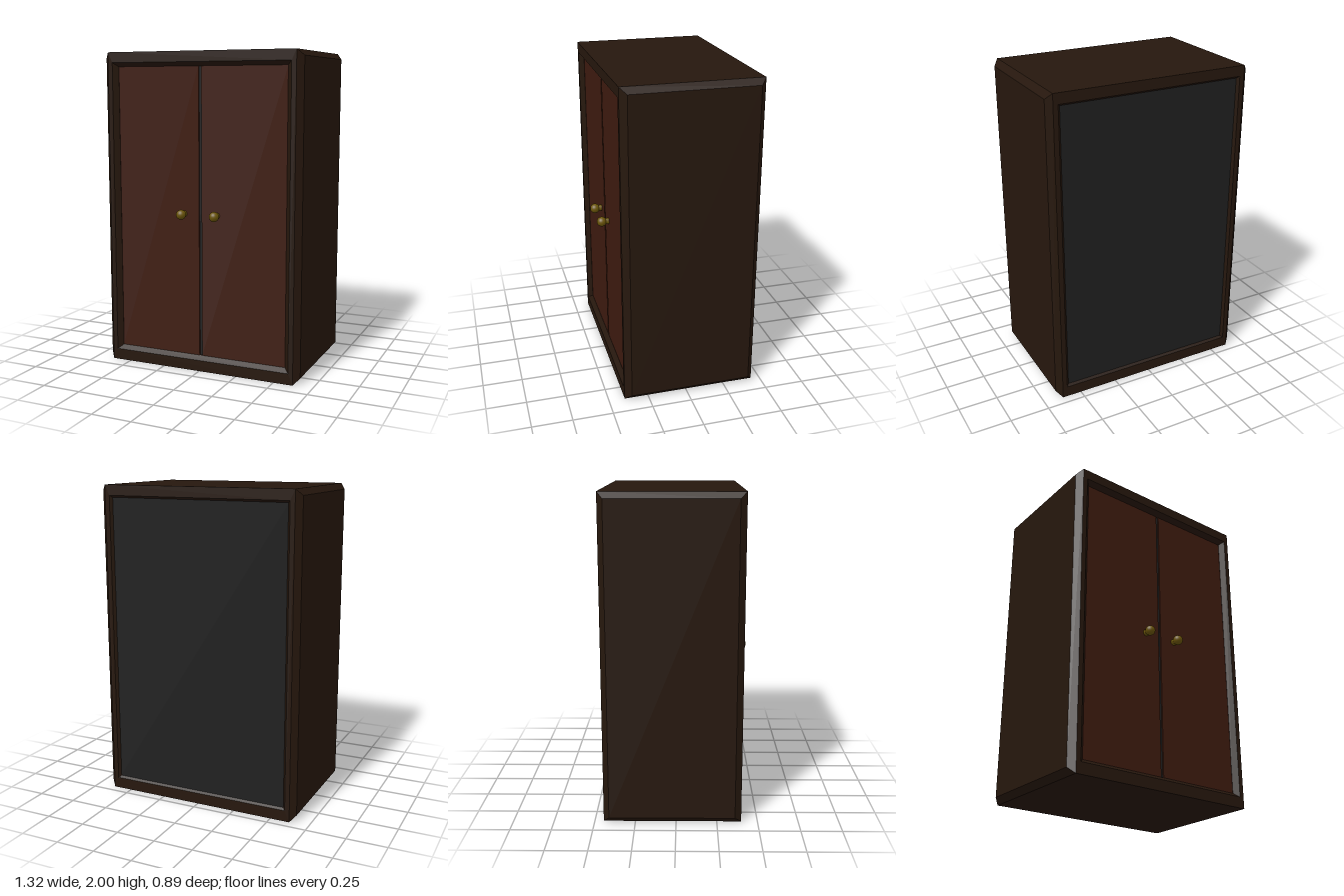
import * as THREE from 'three';

const mat = (color, flatShading = true) => new THREE.MeshStandardMaterial({ color, flatShading });

// Joins four-corner loops into a skin, outermost loop first; optionally caps that first loop.
function loft(loops, cap) {
  const pos = [];
  const quad = (a, b, c, d) => pos.push(...a, ...b, ...c, ...a, ...c, ...d);
  for (let i = 0; i + 1 < loops.length; i++) {
    const p = loops[i], q = loops[i + 1];
    for (let j = 0; j < 4; j++) {
      const k = (j + 1) % 4;
      quad(p[j], q[j], q[k], p[k]);
    }
  }
  if (cap) quad(...loops[0]);
  const g = new THREE.BufferGeometry();
  g.setAttribute('position', new THREE.Float32BufferAttribute(pos, 3));
  g.computeVertexNormals();
  return g;
}

// Upright rectangle facing z, and upright rectangle facing x.
const rectZ = (z, x, y0, y1) => [[-x, y0, z], [x, y0, z], [x, y1, z], [-x, y1, z]];
const rectX = (x, z0, z1, y0, y1) => [[x, y0, z1], [x, y0, z0], [x, y1, z0], [x, y1, z1]];

export function createModel() {
  const model = new THREE.Group();
  const frameMat = mat(0x26170d);
  const doorMat = mat(0x3e1b0f);
  const knobMat = mat(0x6a5408, false);
  const panelMat = mat(0x1f1f1f);

  const add = (name, geometry, material, parent = model) => {
    const m = new THREE.Mesh(geometry, material);
    m.name = name;
    parent.add(m);
    return m;
  };

  // Frame: bevelled front opening, outer walls, bevelled back opening
  add('cabinetFrame', loft([
    rectZ(0.34, 0.565, 0.095, 1.91),
    rectZ(0.37, 0.565, 0.095, 1.91),
    rectZ(0.4, 0.595, 0.07, 1.935),
    rectZ(0.4, 0.625, 0, 2),
    rectZ(-0.445, 0.625, 0, 2),
    rectZ(-0.445, 0.595, 0.07, 1.935),
    rectZ(-0.415, 0.565, 0.095, 1.91),
  ]), frameMat);

  // Side panels with chamfered edges
  const side = loft([
    rectX(0.66, -0.41, 0.36, 0.037, 1.963),
    rectX(0.625, -0.445, 0.4, 0, 2),
  ], true);
  add('leftSidePanel', side, frameMat);
  const rightSide = add('rightSidePanel', side, frameMat);
  rightSide.rotation.z = Math.PI;
  rightSide.position.y = 2;

  // Inner carcass, seen as the back panel and through the gap between the doors
  add('carcass', new THREE.BoxGeometry(1.17, 1.845, 0.79), panelMat)
    .position.set(0, 1.0025, -0.035);

  // Doors and knobs
  for (const s of [1, -1]) {
    const door = new THREE.Group();
    door.name = s > 0 ? 'leftDoor' : 'rightDoor';
    model.add(door);
    add('doorPanel', new THREE.BoxGeometry(0.557, 1.815, 0.03), doorMat, door)
      .position.set(s * 0.2875, 1.0025, 0.354);
    const stem = add('knobStem', new THREE.CylinderGeometry(0.02, 0.02, 0.05, 16), knobMat, door);
    stem.rotation.x = Math.PI / 2;
    stem.position.set(s * 0.112, 1, 0.385);
    add('knob', new THREE.SphereGeometry(0.031, 24, 16), knobMat, door)
      .position.set(s * 0.112, 1, 0.414);
  }
  return model;
}
